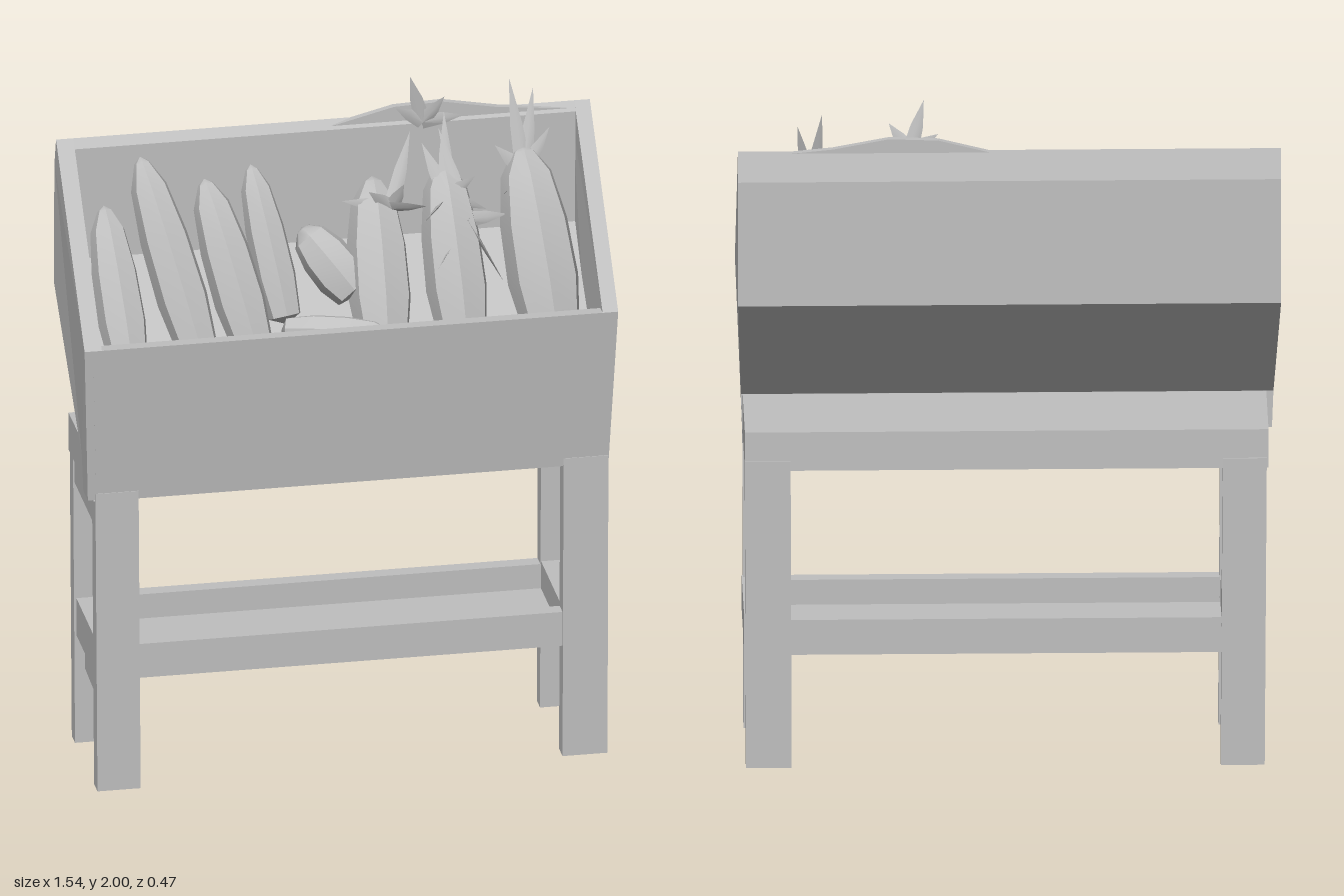
import * as THREE from 'three';
import { mergeVertices, toCreasedNormals } from 'three/addons/utils/BufferGeometryUtils.js';

const grey = new THREE.MeshStandardMaterial({ color: 0xbfbfbf, side: THREE.DoubleSide });
grey.name = 'plain grey';

function add(parent, name, geometry) {
  const mesh = new THREE.Mesh(geometry, grey);
  mesh.name = name;
  parent.add(mesh);
  return mesh;
}

// Extrudes a [z, y] outline along x from x0 to x1.
function slab(profile, x0, x1) {
  const shape = new THREE.Shape(profile.map(([z, y]) => new THREE.Vector2(-z, y)));
  const g = new THREE.ExtrudeGeometry(shape, { depth: x1 - x0, bevelEnabled: false });
  g.rotateY(Math.PI / 2);
  g.translate(x0, 0, 0);
  return g;
}

// Narrows the bin slightly towards its foot.
function taper(g) {
  const p = g.attributes.position;
  for (let i = 0; i < p.count; i++) {
    const t = THREE.MathUtils.clamp((1.4 - p.getY(i)) / 0.5, 0, 1);
    p.setX(i, p.getX(i) * (1 - 0.025 * t));
  }
  g.computeVertexNormals();
  return g;
}

function box(x0, x1, y0, y1, z0, z1) {
  const g = new THREE.BoxGeometry(x1 - x0, y1 - y0, z1 - z0);
  g.translate((x0 + x1) / 2, (y0 + y1) / 2, (z0 + z1) / 2);
  return g;
}

// Places a geometry that grows along +y so it runs from a to b.
function aim(mesh, a, b) {
  const from = new THREE.Vector3(...a);
  const dir = new THREE.Vector3(...b).sub(from).normalize();
  mesh.position.copy(from);
  mesh.quaternion.setFromUnitVectors(new THREE.Vector3(0, 1, 0), dir);
}

const span = (a, b) => new THREE.Vector3(...a).distanceTo(new THREE.Vector3(...b));

// Faceted root vegetable with a blunt, pointed end.
function vegetable(parent, a, b, r) {
  const h = span(a, b);
  const pts = [[0, 0], [0.8, 0.05], [1, 0.3], [0.95, 0.6], [0.72, 0.85], [0.3, 0.97], [0, 1]]
    .map(([x, y]) => new THREE.Vector2(x * r, y * h));
  const g = toCreasedNormals(new THREE.LatheGeometry(pts, 7), 0.7);
  aim(add(parent, 'vegetable', g), a, b);
}

// Thin folded leaf blade with a pointed tip.
function leaf(parent, a, b, w) {
  const h = span(a, b);
  const g = new THREE.ConeGeometry(w, h, 4, 2);
  g.translate(0, h / 2, 0);
  g.scale(1, 1, 0.35);
  const p = g.attributes.position;
  for (let i = 0; i < p.count; i++) {
    if (Math.abs(p.getY(i) - h / 2) < 0.001) p.setX(i, p.getX(i) * 1.5);
  }
  aim(add(parent, 'leaf', toCreasedNormals(mergeVertices(g), 0.6)), a, b);
}

export function createModel() {
  const model = new THREE.Group();
  model.name = 'produceStand';

  // Tilted bin: end panels, front, back and sloping floor
  const bin = new THREE.Group();
  bin.name = 'bin';
  model.add(bin);
  const side = [[0.19, 0.91], [0.24, 1.395], [-0.2, 1.865], [-0.225, 1.78], [-0.235, 1.41], [0.12, 1.02], [0.12, 0.91]];
  add(bin, 'rightEnd', taper(slab(side, -0.775, -0.725)));
  add(bin, 'leftEnd', taper(slab(side, 0.725, 0.77)));
  const panels = {
    binFront: [[0.19, 0.905], [0.24, 1.395], [0.205, 1.395], [0.165, 1.2], [0.12, 1.02], [0.12, 0.905]],
    binBack: [[-0.2, 1.865], [-0.225, 1.78], [-0.235, 1.41], [-0.175, 1.45], [-0.178, 1.84]],
    binFloor: [[0.12, 1.02], [0.17, 1.2], [-0.175, 1.5], [-0.235, 1.41]],
  };
  for (const [name, profile] of Object.entries(panels)) add(bin, name, taper(slab(profile, -0.75, 0.75)));

  // Table under the bin
  const table = new THREE.Group();
  table.name = 'table';
  model.add(table);
  add(table, 'tableTop', slab([[0.19, 0.905], [0.15, 1.02], [-0.195, 1.015], [-0.198, 0.9]], -0.74, 0.75));
  add(table, 'rightApron', box(-0.73, -0.62, 0.815, 0.92, -0.16, 0.15));

  // Legs splay a little at the foot
  for (const s of [-1, 1]) {
    for (const [z0, z1] of [[0.142, 0.195], [-0.202, -0.152]]) {
      const g = s < 0 ? box(-0.735, -0.61, 0.005, 0.93, z0, z1) : box(0.62, 0.75, 0.005, 0.93, z0, z1);
      const p = g.attributes.position;
      for (let i = 0; i < p.count; i++) {
        if (p.getY(i) < 0.1) p.setX(i, p.getX(i) + (s < 0 ? 0.006 : -0.003));
      }
      add(table, 'leg', g);
    }
    add(table, 'sideStretcher', s < 0 ? box(-0.725, -0.61, 0.34, 0.455, -0.17, 0.16) : box(0.62, 0.752, 0.355, 0.46, -0.17, 0.16));
  }
  add(table, 'rightLowerPanel', slab([[0.15, 0.215], [0.15, 0.36], [-0.16, 0.36], [-0.16, 0.235]], -0.7, -0.64));

  // Lower shelf between two long rails
  for (const z of [0.165, -0.177]) add(table, 'longRail', box(-0.65, 0.65, 0.345, 0.45, z - 0.022, z + 0.022));
  add(table, 'shelf', box(-0.65, 0.65, 0.335, 0.375, -0.16, 0.15));

  // Vegetables leaning against the back of the bin
  const produce = new THREE.Group();
  produce.name = 'produce';
  model.add(produce);
  const roots = [
    [[-0.62, 1.27, 0.13], [-0.65, 1.68, -0.13], 0.07],
    [[-0.41, 1.28, 0.1], [-0.54, 1.81, -0.16], 0.075],
    [[-0.25, 1.28, 0.09], [-0.36, 1.74, -0.13], 0.075],
    [[-0.15, 1.34, 0.03], [-0.22, 1.76, -0.16], 0.06],
    [[-0.17, 1.33, 0.05], [0.13, 1.34, 0.15], 0.05],
    [[0.06, 1.4, 0.0], [-0.08, 1.57, -0.12], 0.075],
    [[0.12, 1.27, 0.1], [0.13, 1.7, -0.15], 0.092],
    [[0.35, 1.27, 0.1], [0.33, 1.74, -0.13], 0.09],
    [[0.61, 1.27, 0.1], [0.56, 1.77, -0.13], 0.105],
  ];
  for (const [a, b, r] of roots) vegetable(produce, a, b, r);

  // Leaf tufts: crown point followed by the leaf tips
  const tufts = [
    [[0.17, 1.64, -0.06], [[0.24, 1.83, -0.15], [0.1, 1.7, -0.04], [0.03, 1.66, -0.08], [0.2, 1.72, -0.03], [0.26, 1.66, 0]]],
    [[0.33, 1.66, -0.06], [[0.34, 1.88, -0.16], [0.27, 1.8, -0.13], [0.44, 1.62, -0.04], [0.41, 1.72, -0.05], [0.25, 1.62, 0.02]]],
    [[0.38, 1.6, -0.02], [[0.47, 1.44, 0.07], [0.32, 1.84, -0.14], [0.5, 1.6, -0.04], [0.28, 1.5, 0.08]]],
    [[0.56, 1.7, -0.1], [[0.53, 1.965, -0.17], [0.6, 1.93, -0.17], [0.48, 1.78, -0.12], [0.64, 1.82, -0.13], [0.49, 1.66, -0.04], [0.6, 1.66, -0.01]]],
    [[0.28, 1.85, -0.17], [[0.24, 2.0, -0.15], [0.34, 1.93, -0.15], [0.2, 1.9, -0.16], [0.4, 1.86, -0.17]]],
  ];
  for (const [crown, tips] of tufts) {
    for (const tip of tips) leaf(produce, crown, tip, 0.024);
  }

  // Small rise of the back edge behind the tallest leaf
  const ridge = new THREE.Shape([[0.02, 1.85], [0.2, 1.895], [0.34, 1.9], [0.5, 1.87], [0.7, 1.85]]
    .map(([x, y]) => new THREE.Vector2(x, y)));
  const ridgeGeometry = new THREE.ExtrudeGeometry(ridge, { depth: 0.02, bevelEnabled: false });
  ridgeGeometry.translate(0, 0, -0.202);
  add(bin, 'backRidge', ridgeGeometry);

  return model;
}
